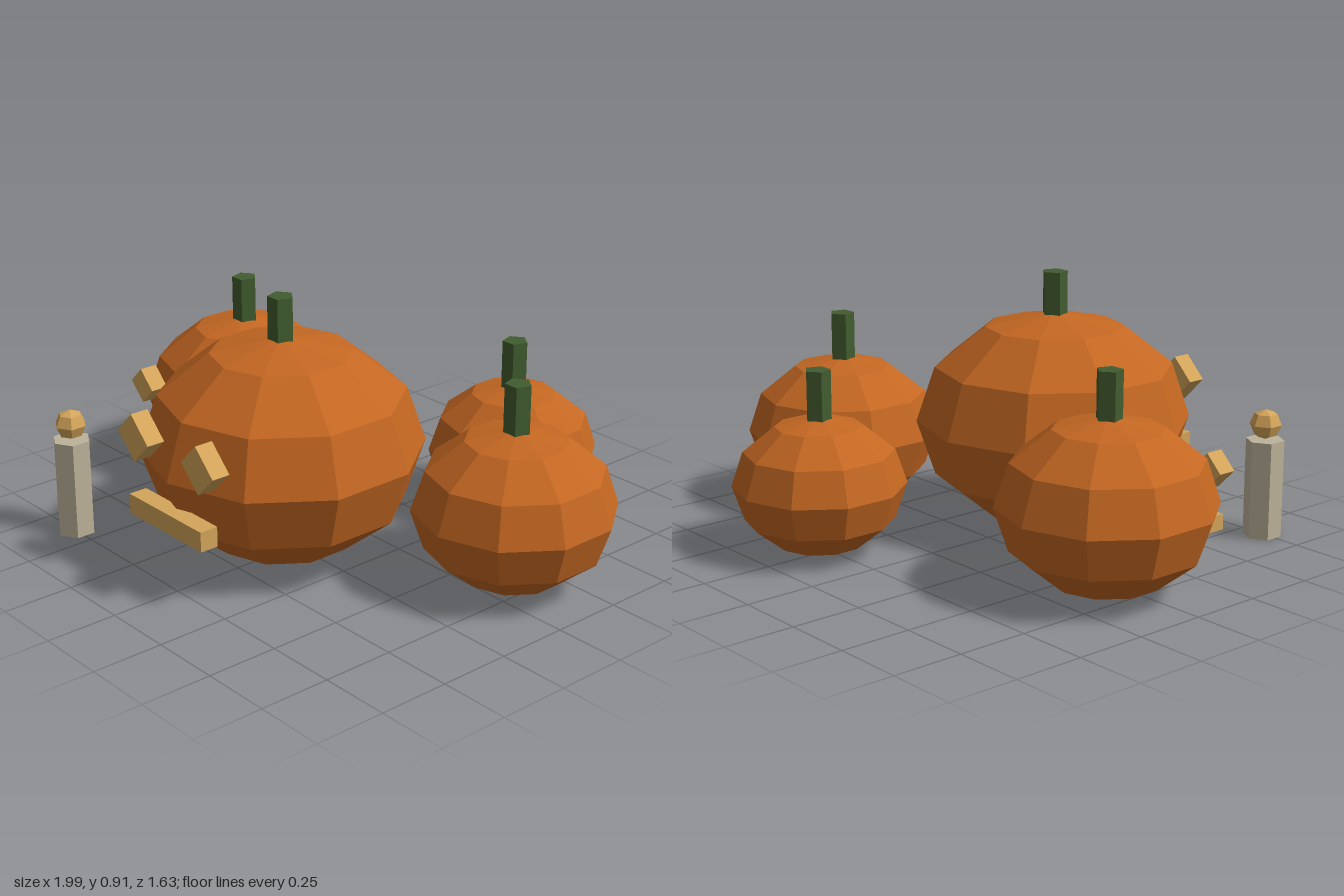
import * as THREE from 'three';

const flat = (name, color) => {
  const m = new THREE.MeshStandardMaterial({ color });
  m.name = name;
  m.flatShading = true;
  return m;
};

export function createModel() {
  const orange = flat('pumpkin orange', 0xc46722);
  const green = flat('stem green', 0x425c2f);
  const gold = flat('glow gold', 0xd4a55a);
  const wax = flat('candle wax', 0xbdb39a);

  const model = new THREE.Group();
  model.name = 'pumpkinPatch';

  const add = (parent, name, geometry, material, x, y, z) => {
    const mesh = new THREE.Mesh(geometry, material);
    mesh.name = name;
    mesh.position.set(x, y, z);
    parent.add(mesh);
    return mesh;
  };

  // Faceted ball with a corner facing front and back
  const ball = (r, ry, sides, rings) =>
    new THREE.SphereGeometry(r, sides, rings).rotateY(Math.PI / 2).scale(1, ry / r, 1);

  // Squashed pumpkin with a five-sided stem, optionally carved
  function pumpkin(name, x, z, r, stemTop, carved) {
    const g = new THREE.Group();
    g.name = name;
    g.position.set(x, 0, z);
    const ry = 0.8 * r;
    add(g, 'body', ball(r, ry, 10, 6), orange, 0, ry, 0);
    const stem = new THREE.CylinderGeometry(0.045, 0.045, 0.18, 5).rotateY(Math.PI);
    add(g, 'stem', stem, green, 0, stemTop - 0.09, 0);
    if (carved) {
      for (const side of [1, -1]) {
        const eye = add(g, side > 0 ? 'leftEye' : 'rightEye',
          new THREE.BoxGeometry(0.23 * r, 0.255 * r, 0.066), gold, side * 0.357 * r, 1.27 * ry, 0.944 * r);
        eye.rotation.z = Math.PI / 4;
      }
      add(g, 'mouth', new THREE.BoxGeometry(0.8 * r, 0.145 * r, 0.066), gold, 0, 0.65 * ry, 0.96 * r);
    }
    model.add(g);
  }

  pumpkin('largePumpkin', -0.02, 0.283, 0.48, 0.908, true);
  pumpkin('rightPumpkin', -0.65, -0.06, 0.365, 0.735, true);
  pumpkin('leftPumpkin', 0.67, -0.12, 0.342, 0.705, false);
  pumpkin('backPumpkin', 0.267, -0.52, 0.296, 0.635, false);

  // Candle with a faceted flame
  const candle = new THREE.Group();
  candle.name = 'candle';
  candle.position.set(-0.595, 0, 0.745);
  add(candle, 'candleStick', new THREE.CylinderGeometry(0.067, 0.067, 0.346, 6), wax, 0, 0.173, 0);
  add(candle, 'flame', ball(0.056, 0.053, 6, 4), gold, 0, 0.4, 0);
  model.add(candle);

  return model;
}
